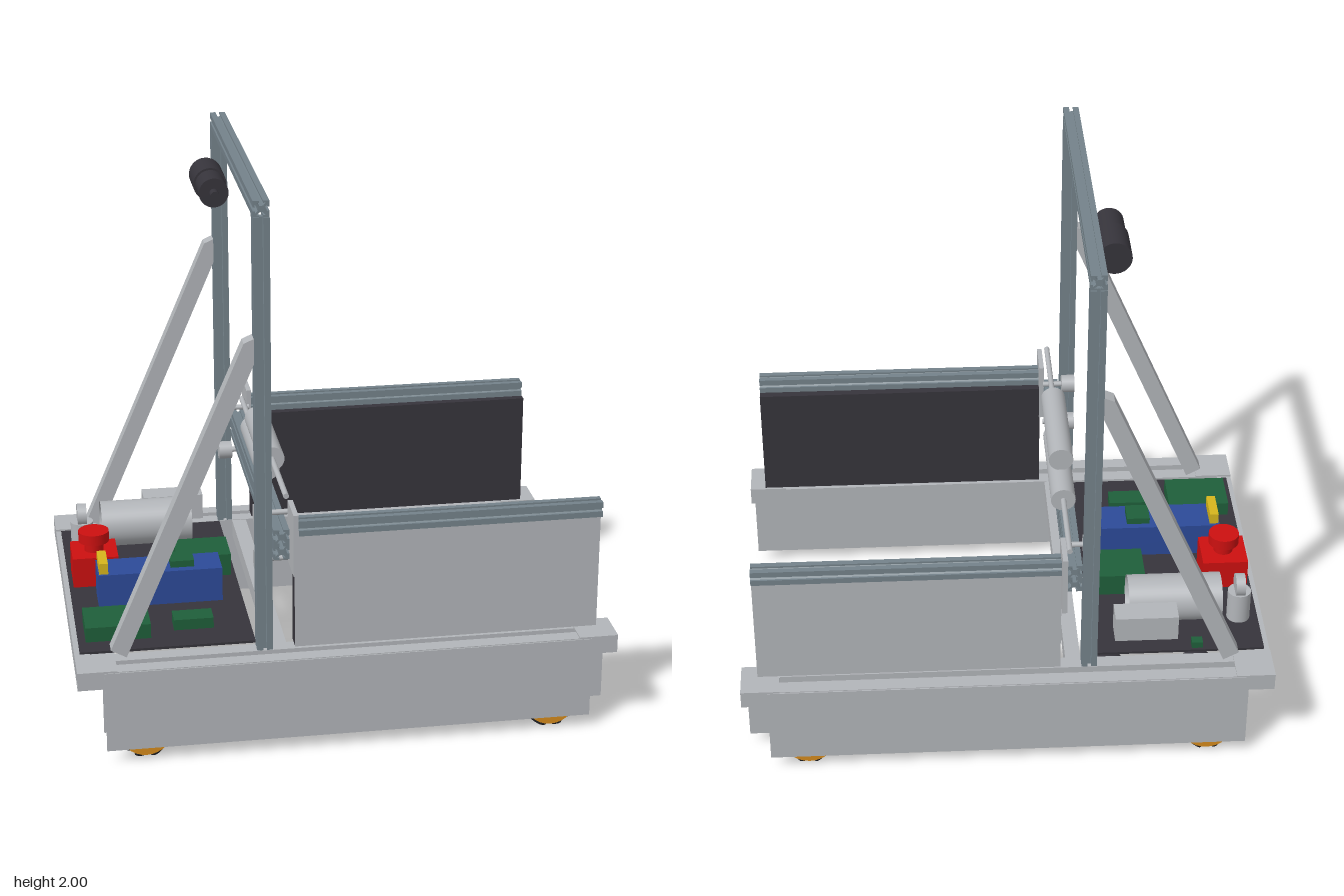
import * as THREE from 'three';

const mat = (name, color, side = THREE.FrontSide) => {
  const m = new THREE.MeshStandardMaterial({ color, side });
  m.name = name;
  return m;
};

export function createModel() {
  const root = new THREE.Group();
  root.name = 'mobileRobot';
  const alu = mat('aluminium', 0xb2b5b9, THREE.DoubleSide);
  const steel = mat('extrusionGrey', 0x74828a);
  const black = mat('black', 0x36343b);
  const rubber = mat('rubber', 0x252529);
  const orange = mat('orange', 0xd48a1c);
  const red = mat('red', 0xcc1010);
  const blue = mat('blue', 0x2c4a98);
  const green = mat('green', 0x1f5f3a);
  const yellow = mat('yellow', 0xd6b51c);

  const add = (name, geo, m, parent = root) => {
    const mesh = new THREE.Mesh(geo, m);
    mesh.name = name;
    parent.add(mesh);
    return mesh;
  };
  // Box given by its extents on each axis
  const box = (name, m, x0, x1, y0, y1, z0, z1) => {
    const mesh = add(name, new THREE.BoxGeometry(x1 - x0, y1 - y0, Math.abs(z1 - z0)), m);
    mesh.position.set((x0 + x1) / 2, (y0 + y1) / 2, (z0 + z1) / 2);
    return mesh;
  };
  // Cylinder along z between z0 and z1
  const cylZ = (name, m, r, x, y, z0, z1) => {
    const mesh = add(name, new THREE.CylinderGeometry(r, r, Math.abs(z1 - z0), 32), m);
    mesh.rotation.x = Math.PI / 2;
    mesh.position.set(x, y, (z0 + z1) / 2);
    return mesh;
  };
  const cylY = (name, m, r, x, z, y0, y1) => {
    const mesh = add(name, new THREE.CylinderGeometry(r, r, y1 - y0, 32), m);
    mesh.position.set(x, (y0 + y1) / 2, z);
    return mesh;
  };

  // Sweep a section along an axis, centred on (x, y, z)
  const sweep = (name, m, shape, axis, length, x, y, z) => {
    const geo = new THREE.ExtrudeGeometry(shape, { depth: length, bevelEnabled: false });
    geo.translate(0, 0, -length / 2);
    if (axis === 'x') geo.rotateY(Math.PI / 2);
    if (axis === 'y') geo.rotateX(-Math.PI / 2);
    const mesh = add(name, geo, m);
    mesh.position.set(x, y, z);
    return mesh;
  };
  // Slotted extrusion section: one side repeated four times
  const side = [[.028, .028], [.007, .028], [.007, .021], [.015, .021], [.006, .011],
    [-.006, .011], [-.015, .021], [-.007, .021], [-.007, .028]];
  const pts = [];
  for (let q = 0; q < 4; q++) {
    for (const [a, b] of side) {
      pts.push(new THREE.Vector2(a, b).rotateAround(new THREE.Vector2(), q * Math.PI / 2));
    }
  }
  const slotted = new THREE.Shape(pts);
  // Hollow rectangular tube section
  const tube = (w, h, t = .006) => {
    const rect = (S, a, b) => new S([[-a, -b], [a, -b], [a, b], [-a, b]].map(p => new THREE.Vector2(...p)));
    const s = rect(THREE.Shape, w / 2, h / 2);
    s.holes.push(rect(THREE.Path, w / 2 - t, h / 2 - t));
    return s;
  };

  // Roller wheel: orange hub between two discs, slanted rubber rollers around it
  const wheel = (x, s) => {
    const g = new THREE.Group();
    g.name = 'rollerWheel';
    g.position.set(x, .108, s * .645);
    root.add(g);
    for (const [r, len, z] of [[.062, .08, 0], [.09, .006, .04], [.09, .006, -.04]]) {
      const d = add('hub', new THREE.CylinderGeometry(r, r, len, 28), orange, g);
      d.rotation.x = Math.PI / 2;
      d.position.z = z;
    }
    for (let i = 0; i < 10; i++) {
      const arm = new THREE.Group();
      arm.name = 'rollerArm';
      arm.rotation.z = i * Math.PI / 5;
      g.add(arm);
      const roller = add('roller', new THREE.SphereGeometry(1, 14, 10), rubber, arm);
      roller.scale.set(.022, .022, .058);
      roller.position.y = -.084;
      roller.rotation.y = s * Math.sign(x) * Math.PI / 4;
    }
  };

  for (const s of [1, -1]) {
    // Side rail: two tubes with end caps and wheel guard plates
    sweep('outerRail', alu, tube(.055, .064), 'x', 1.93, 0, .323, s * .667)
      .geometry.computeVertexNormals();
    sweep('innerRail', alu, tube(.055, .064), 'x', 1.93, 0, .323, s * .582);
    for (const x of [-.965, .825]) box('railEndPlate', alu, x, x + .14, .353, .36, s * .553, s * .698);
    box('outerGuard', alu, -.87, .87, .05, .352, s * .694, s * .699);
    box('innerGuard', alu, -.87, .95, .05, .292, s * .556, s * .562);

    // Wheels, drive motors and belt
    for (const x of [-.73, .73]) {
      wheel(x, s);
      cylZ('axle', black, .02, x, .108, s * .558, s * .694);
    }
    for (const x of [-.73, -.4]) {
      cylZ('motorShaft', black, .03, x, .108, s * .55, s * .6);
      cylZ('motorGearbox', black, .048, x, .108, s * .44, s * .55);
      cylZ('motorBody', black, .06, x, .108, s * .3, s * .44);
    }
    for (const y of [.08, .13]) box('driveBelt', rubber, -.4, .73, y, y + .006, s * .572, s * .595);
    for (const x of [-.4, .73]) cylZ('beltPulley', rubber, .028, x, .108, s * .572, s * .595);

    // Upright and its diagonal strut
    sweep('upright', steel, slotted, 'y', 1.587, -.296, 1.15, s * .582);
    const strut = new THREE.Shape([[-.84, .395], [-.785, .365], [-.325, 1.43], [-.325, 1.52], [-.36, 1.505]]
      .map(p => new THREE.Vector2(...p)));
    sweep('strut', alu, strut, 'z', .054, 0, 0, s * .58);

    // Clamp arm: top bar, padded panel and carriage plate
    sweep('armBar', steel, slotted, 'x', 1.1, .355, .828, s * .614);
    box('armPad', black, -.19, .905, .365, .8, s * .556, s * .609);
    box('armPanel', alu, -.19, .905, .365, .805, s * .609, s * .616);
    box('carriagePlate', alu, -.205, -.187, .67, .9, s * .55, s * .69);
    for (const y of [.67, .845]) {
      const r = add('guideRoller', new THREE.CylinderGeometry(.034, .034, .05, 24), alu);
      r.rotation.z = Math.PI / 2;
      r.position.set(-.296, y, s * .521);
      const pin = add('guidePin', new THREE.CylinderGeometry(.01, .01, .1, 12), alu);
      pin.rotation.z = Math.PI / 2;
      pin.position.set(-.25, y, s * .521);
    }
  }

  // Base cross tubes and deck
  for (const x of [-.937, -.24]) sweep('crossTube', alu, tube(.055, .064), 'z', 1.11, x, .321, 0);
  box('deck', black, -.945, -.32, .351, .36, -.54, .535);

  // Portal top bar and the double crossbeam
  sweep('portalTop', steel, slotted, 'z', 1.21, -.296, 1.972, 0);
  for (const y of [.728, .784]) sweep('crossBeam', steel, slotted, 'z', 1.21, -.235, y, 0);

  // Pair of opposed linear actuators
  cylZ('upperActuator', alu, .045, -.22, .945, -.14, .275);
  cylZ('upperRod', alu, .01, -.22, .945, .275, .62);
  cylZ('lowerActuator', alu, .045, -.22, .858, -.27, .15);
  cylZ('lowerRod', alu, .01, -.22, .858, -.58, -.27);

  // Lift motor near the portal top
  cylZ('liftMotorBody', black, .06, -.383, 1.86, -.26, -.115);
  cylZ('liftMotorGearbox', black, .053, -.383, 1.86, -.115, 0);
  cylZ('liftMotorShaft', black, .016, -.383, 1.86, 0, .04);

  // Emergency stop
  box('stopBase', red, -.93, -.76, .36, .475, -.175, -.008);
  cylY('stopStem', red, .036, -.845, -.09, .475, .515);
  cylY('stopButton', red, .057, -.845, -.09, .512, .552);

  // Battery and circuit boards
  box('battery', blue, -.85, -.395, .36, .49, .042, .185);
  box('batteryConnector', yellow, -.845, -.812, .49, .532, .055, .175);
  box('batteryBoard', green, -.582, -.495, .49, .515, .067, .155);
  box('mainBoard', green, -.918, -.685, .36, .415, .285, .458);
  box('smallBoard', green, -.598, -.455, .36, .4, .33, .41);
  box('driverBoard', green, -.54, -.337, .36, .445, -.197, -.03);
  box('sensorBoard', green, -.72, -.68, .36, .385, -.53, -.495);

  // Air tank (open tube), valve and control box
  const tank = add('airTank', new THREE.CylinderGeometry(.087, .087, .345, 40, 1, true), alu);
  tank.rotation.z = Math.PI / 2;
  tank.position.set(-.628, .462, -.352);
  cylY('valveStem', alu, .043, -.873, -.35, .36, .48);
  const knob = add('valveKnob', new THREE.CylinderGeometry(.042, .042, .035, 28), alu);
  knob.rotation.z = Math.PI / 2;
  knob.position.set(-.873, .507, -.35);
  box('controlBox', alu, -.625, -.395, .415, .515, -.543, -.452);

  return root;
}
